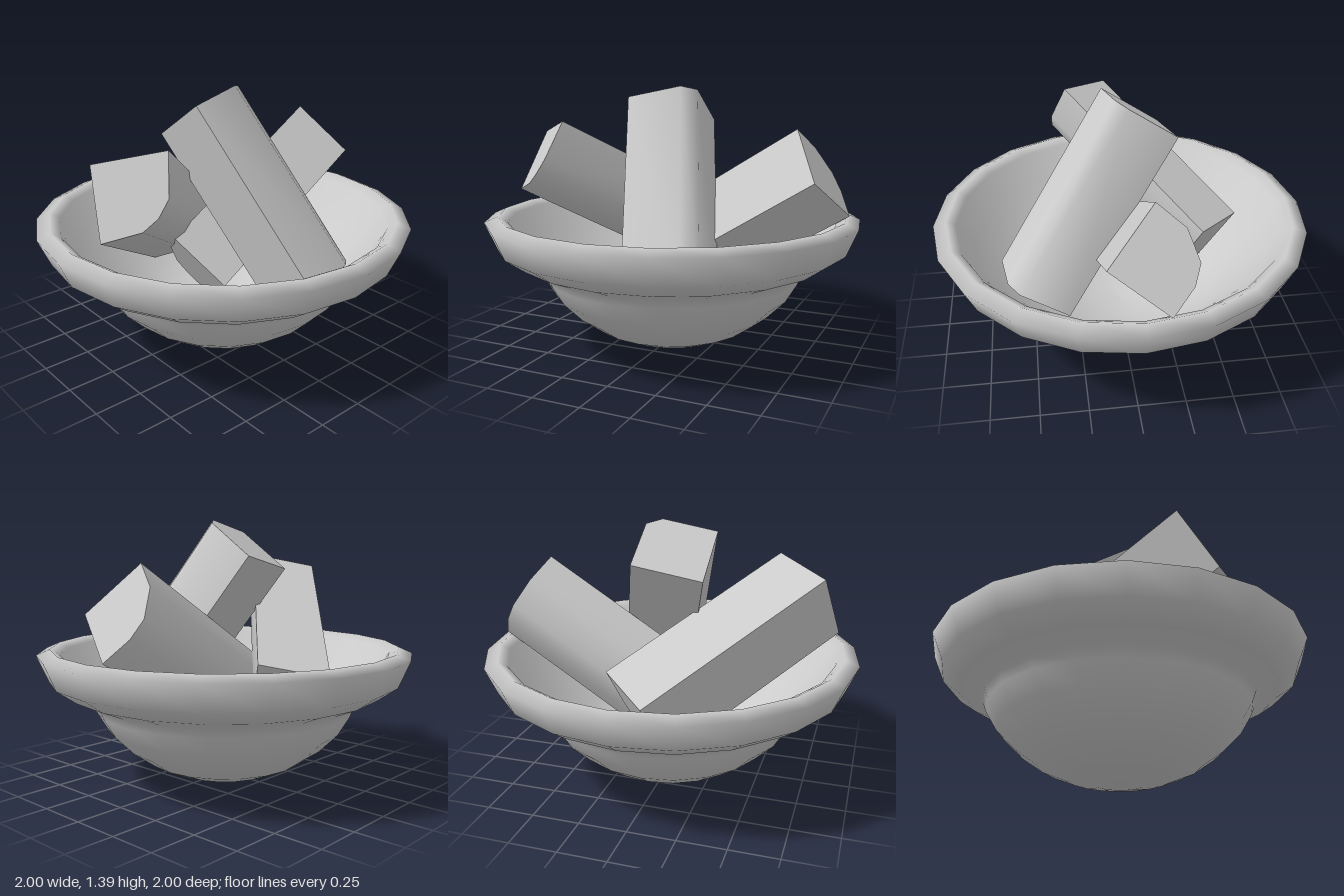
import * as THREE from 'three';
import { toCreasedNormals } from 'three/addons/utils/BufferGeometryUtils.js';

const material = new THREE.MeshStandardMaterial({ color: 0xcccccc });

// Split log: a quarter wedge whose sharp corner sits at `corner` on the upper end.
// `dir` points up along the log, `side` along one split face.
function makeLog(name, corner, dir, side, length, bark) {
  const shape = new THREE.Shape([[0, 0], ...bark].map(([x, y]) => new THREE.Vector2(x, y)));
  const geometry = new THREE.ExtrudeGeometry(shape, { depth: length, bevelEnabled: false });
  geometry.translate(0, 0, -length);

  const w = new THREE.Vector3(...dir).normalize();
  const v = new THREE.Vector3().crossVectors(w, new THREE.Vector3(...side)).normalize();
  const u = new THREE.Vector3().crossVectors(v, w);
  geometry.applyMatrix4(new THREE.Matrix4().makeBasis(u, v, w).setPosition(...corner));

  const mesh = new THREE.Mesh(toCreasedNormals(geometry, Math.PI / 3), material);
  mesh.name = name;
  return mesh;
}

// Round fire bowl with a flared rim and hollow inside
function makeBowl() {
  const profile = [
    [0, 0], [0.14, 0.005], [0.28, 0.035], [0.42, 0.095], [0.54, 0.18], [0.64, 0.28], [0.7, 0.38], [0.72, 0.43],
    [0.84, 0.48], [0.94, 0.55], [1, 0.69], [0.93, 0.72],
    [0.88, 0.69], [0.8, 0.55], [0.66, 0.42], [0.53, 0.28], [0.36, 0.17], [0.15, 0.11], [0, 0.1],
  ].map(([r, y]) => new THREE.Vector2(r, y));
  const mesh = new THREE.Mesh(new THREE.LatheGeometry(profile, 20), material);
  mesh.name = 'bowl';
  return mesh;
}

export function createModel() {
  const model = new THREE.Group();
  model.name = 'fireBowl';
  model.add(
    makeBowl(),
    makeLog('middleLog', [-0.23, 1.13, -0.23], [-0.234, 0.807, -0.54], [0, 0.555, 0.83], 1.09,
      [[0.36, 0], [0.36, 0.295], [0.3, 0.37], [0, 0.37]]),
    makeLog('rightLog', [-0.8, 1.13, 0], [-0.666, 0.462, 0.586], [-0.19, -0.867, 0.46], 1.13,
      [[0.37, 0], [0.35, 0.2], [0.3, 0.28], [0.22, 0.34], [0, 0.37]]),
    makeLog('leftLog', [0.81, 0.93, 0.16], [0.85, 0.53, 0], [0.334, -0.535, -0.77], 1.1,
      [[0.36, 0], [0.36, 0.17], [0.32, 0.27], [0.18, 0.36], [0, 0.37]]),
  );
  return model;
}
